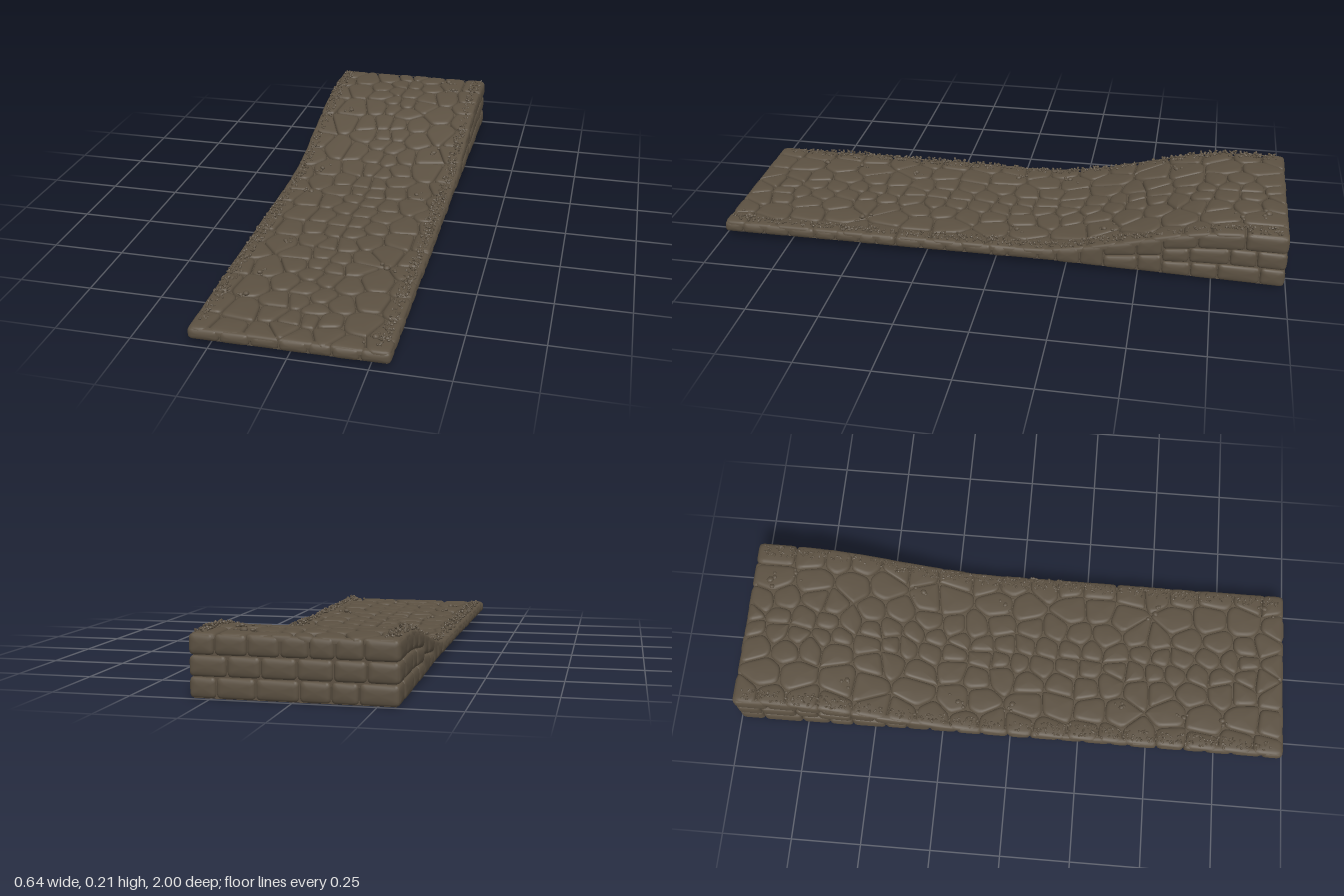
import * as THREE from 'three';
import { mergeGeometries } from 'three/addons/utils/BufferGeometryUtils.js';

// Seeded random numbers
let seed = 7;
const rnd = () => {
  seed = (seed * 1664525 + 1013904223) >>> 0;
  return seed / 4294967296;
};
const jitter = (a) => (rnd() * 2 - 1) * a;

// Lengthwise profile of the ramp
const topY = (z) => 0.061 + 0.132 * THREE.MathUtils.smoothstep(-z, 0.1, 0.85);
const bottomY = (z) => 0.02 * (1 - THREE.MathUtils.clamp((-z - 0.2) / 0.8, 0, 1));

// Rounds the corners of a convex polygon with short curves
function roundCorners(poly, radius) {
  const out = [];
  poly.forEach((p, i) => {
    const toward = (q) => {
      const d = q.clone().sub(p), len = d.length() || 1e-6;
      return p.clone().addScaledVector(d, Math.min(radius, len * 0.42) / len);
    };
    const a = toward(poly[(i + poly.length - 1) % poly.length]);
    const b = toward(poly[(i + 1) % poly.length]);
    out.push(...new THREE.QuadraticBezierCurve(a, p, b).getPoints(3));
  });
  return out;
}

// Pillow-shaped stone: shrinking rings over an outline, placed by map(u, v, height)
const RINGS = [[0.001, -0.016], [0.0015, -0.007], [0.004, -0.002], [0.009, 0.001], [0.018, 0.003]];
function stone(poly, map, radius = 0.022, lift = 0) {
  const outline = roundCorners(poly, radius);
  const box = new THREE.Box2().setFromPoints(outline);
  const c = box.getCenter(new THREE.Vector2()), size = box.getSize(new THREE.Vector2());
  const n = outline.length, pos = [], idx = [];
  for (const [inset, h] of RINGS) {
    const kx = Math.max(0.3, 1 - 2 * inset / size.x), ky = Math.max(0.3, 1 - 2 * inset / size.y);
    for (const p of outline) pos.push(...map(c.x + (p.x - c.x) * kx, c.y + (p.y - c.y) * ky, h + lift));
  }
  pos.push(...map(c.x, c.y, 0.004 + lift));
  // Keep faces pointing outward whatever the handedness of the map
  const o = new THREE.Vector3(...map(c.x, c.y, 0));
  const axis = (u, v, h) => new THREE.Vector3(...map(c.x + u, c.y + v, h)).sub(o);
  const hand = axis(0.01, 0, 0).cross(axis(0, 0.01, 0)).dot(axis(0, 0, 0.01));
  const flip = hand * THREE.ShapeUtils.area(outline) < 0;
  const tri = (a, b, d) => (flip ? idx.push(a, d, b) : idx.push(a, b, d));
  for (let i = 0; i < n; i++) {
    const j = (i + 1) % n;
    for (let r = 0; r < RINGS.length - 1; r++) {
      const a = r * n + i, b = r * n + j;
      tri(a, b, b + n);
      tri(a, b + n, a + n);
    }
    tri((RINGS.length - 1) * n + i, (RINGS.length - 1) * n + j, RINGS.length * n);
  }
  const g = new THREE.BufferGeometry();
  g.setAttribute('position', new THREE.Float32BufferAttribute(pos, 3));
  g.setIndex(idx);
  g.computeVertexNormals();
  return g;
}

// Cuts a convex polygon to the side of seed a, away from seed b
function cutCell(poly, a, b) {
  const mid = a.clone().add(b).multiplyScalar(0.5), dir = b.clone().sub(a);
  const side = (p) => p.clone().sub(mid).dot(dir);
  const out = [];
  poly.forEach((p, i) => {
    const q = poly[(i + 1) % poly.length], sp = side(p), sq = side(q);
    if (sp <= 0) out.push(p);
    if (sp * sq < 0) out.push(p.clone().lerp(q, sp / (sp - sq)));
  });
  return out;
}

// Irregular paving: large stones at the sides, smaller ones in the middle
function pavingGeometry() {
  const seeds = [];
  for (const s of [-1, 1]) {
    for (const [x, step, jx] of [[0.29, 0.11, 0.008], [0.19, 0.135, 0.016], [0.095, 0.1, 0.018], [0.032, 0.085, 0.01]]) {
      const count = Math.round(2 / step), offset = rnd() * 0.5 + 0.25;
      for (let i = 0; i < count; i++) {
        const z = -1 + (i + offset) * 2 / count;
        seeds.push(new THREE.Vector2(s * x + jitter(jx), z + jitter(step * 0.25)));
      }
    }
  }
  const stones = seeds.map((a) => {
    let cell = [[-1, -1], [1, -1], [1, 1], [-1, 1]].map(([x, z]) => new THREE.Vector2(x * 0.315, z * 0.995));
    for (const b of seeds) if (b !== a && a.distanceTo(b) < 0.5) cell = cutCell(cell, a, b);
    return stone(cell, (x, z, h) => [x, topY(z) + h, z], 0.022, jitter(0.0015));
  });
  return mergeGeometries(stones);
}

// One course of wall blocks between two fractions of the wall height
function course(from, to, v0, v1, length, low, high, map) {
  const count = Math.max(1, Math.round((to - from) / length));
  const cuts = Array.from({ length: count + 1 }, (_, i) =>
    from + (to - from) * i / count + (i > 0 && i < count ? jitter(length * 0.2) : 0));
  const at = (u, v) => new THREE.Vector2(u, THREE.MathUtils.lerp(low(u), high(u), v));
  return cuts.slice(1).map((b, i) => {
    const a = cuts[i];
    return stone([at(a, v0), at(b, v0), at(b, v1), at(a, v1)], map, 0.014, jitter(0.0015));
  });
}

function sideWallGeometry(s) {
  const map = (z, y, h) => [s * (0.313 + h), y, z];
  const blocks = [];
  for (const [from, to, rows, length] of [[-0.38, 0.995, 1, 0.085], [-0.58, -0.38, 2, 0.1], [-0.995, -0.58, 3, 0.11]]) {
    for (let r = 0; r < rows; r++) {
      blocks.push(...course(from, to, r / rows, (r + 1) / rows, length * (1 + jitter(0.15)), bottomY, topY, map));
    }
  }
  return mergeGeometries(blocks);
}

function endWallGeometry(s, rows, length) {
  const blocks = [];
  for (let r = 0; r < rows; r++) {
    blocks.push(...course(-0.315, 0.315, r / rows, (r + 1) / rows, length * (1 + jitter(0.15)),
      () => bottomY(s), () => topY(s), (x, y, h) => [x, y, s * (0.994 + h)]));
  }
  return mergeGeometries(blocks);
}

// Small lumpy blob, used for leaves and pebbles
function blob(x, y, z, sx, sy, sz, tilt, detail) {
  const g = detail ? new THREE.SphereGeometry(1, 10, 7) : new THREE.IcosahedronGeometry(1, 0);
  return g.scale(sx, sy, sz).rotateX(jitter(tilt)).rotateZ(jitter(tilt)).rotateY(rnd() * 6.28).translate(x, y, z);
}

// Strip of leafy growth along one long edge, thinning out in places
function growthGeometry(s) {
  const leaves = [];
  for (let i = 0; i < 560; i++) {
    const z = -0.97 + 1.94 * i / 560 + jitter(0.01);
    const fullness = 0.6 + 0.4 * Math.sin(z * 9 + s) * Math.sin(z * 4.3 + 1);
    if (rnd() > fullness + 0.25) continue;
    const across = jitter(1), height = rnd() * 0.02 * fullness * (1 - across * across * 0.6);
    const x = s * (0.283 + across * 0.024 * (0.5 + fullness * 0.5));
    leaves.push(blob(x, topY(z) + 0.003 + height, z, 0.0075, 0.003 + rnd() * 0.003, 0.0045, 1.2, false));
  }
  return mergeGeometries(leaves);
}

// Loose pebbles in small clusters
function pebbleGeometry() {
  const spots = [[0.165, -0.93, 0.014], [0.2, -0.84, 0.01], [-0.19, -0.6, 0.011], [0.2, -0.37, 0.012],
    [-0.21, -0.2, 0.011], [-0.2, 0, 0.012], [0.19, -0.06, 0.01], [-0.18, 0.4, 0.01], [0.2, 0.51, 0.012],
    [-0.2, 0.63, 0.01], [-0.2, 0.77, 0.012], [0.255, 0.92, 0.013]];
  const pebbles = [];
  for (const [x, z, r] of spots) {
    pebbles.push(blob(x, topY(z) + 0.006, z, r, r * 0.7, r * 0.85, 0.3, true));
    for (let i = 0; i < 3; i++) {
      const px = x + jitter(0.03), pz = z + jitter(0.035), k = r * (0.4 + rnd() * 0.3);
      pebbles.push(blob(px, topY(pz) + 0.004, pz, k, k * 0.7, k, 0.3, true));
    }
  }
  return mergeGeometries(pebbles);
}

// Solid bed beneath the stones, with the flat underside
function bedGeometry() {
  const shape = new THREE.Shape();
  const steps = 40, zAt = (i) => -0.985 + 1.97 * i / steps;
  shape.moveTo(-zAt(0), bottomY(-1));
  for (let i = 0; i <= steps; i++) shape.lineTo(-zAt(i), topY(zAt(i)) - 0.011);
  shape.lineTo(-zAt(steps), 0.02);
  shape.lineTo(0.2, 0.02);
  return new THREE.ExtrudeGeometry(shape, { depth: 0.606, bevelEnabled: false })
    .rotateY(Math.PI / 2).translate(-0.303, 0, 0);
}

export function createModel() {
  const model = new THREE.Group();
  model.name = 'stoneRamp';
  const stoneBrown = new THREE.MeshStandardMaterial({ color: 0x5c5142 });
  stoneBrown.name = 'stoneBrown';
  const add = (name, geometry) => {
    const mesh = new THREE.Mesh(geometry, stoneBrown);
    mesh.name = name;
    model.add(mesh);
  };
  add('bed', bedGeometry());
  add('pavingStones', pavingGeometry());
  add('frontBlocks', endWallGeometry(1, 1, 0.088));
  add('backWall', endWallGeometry(-1, 3, 0.105));
  for (const [side, s] of [['left', 1], ['right', -1]]) {
    add(side + 'Wall', sideWallGeometry(s));
    add(side + 'EdgeGrowth', growthGeometry(s));
  }
  add('pebbles', pebbleGeometry());
  return model;
}
